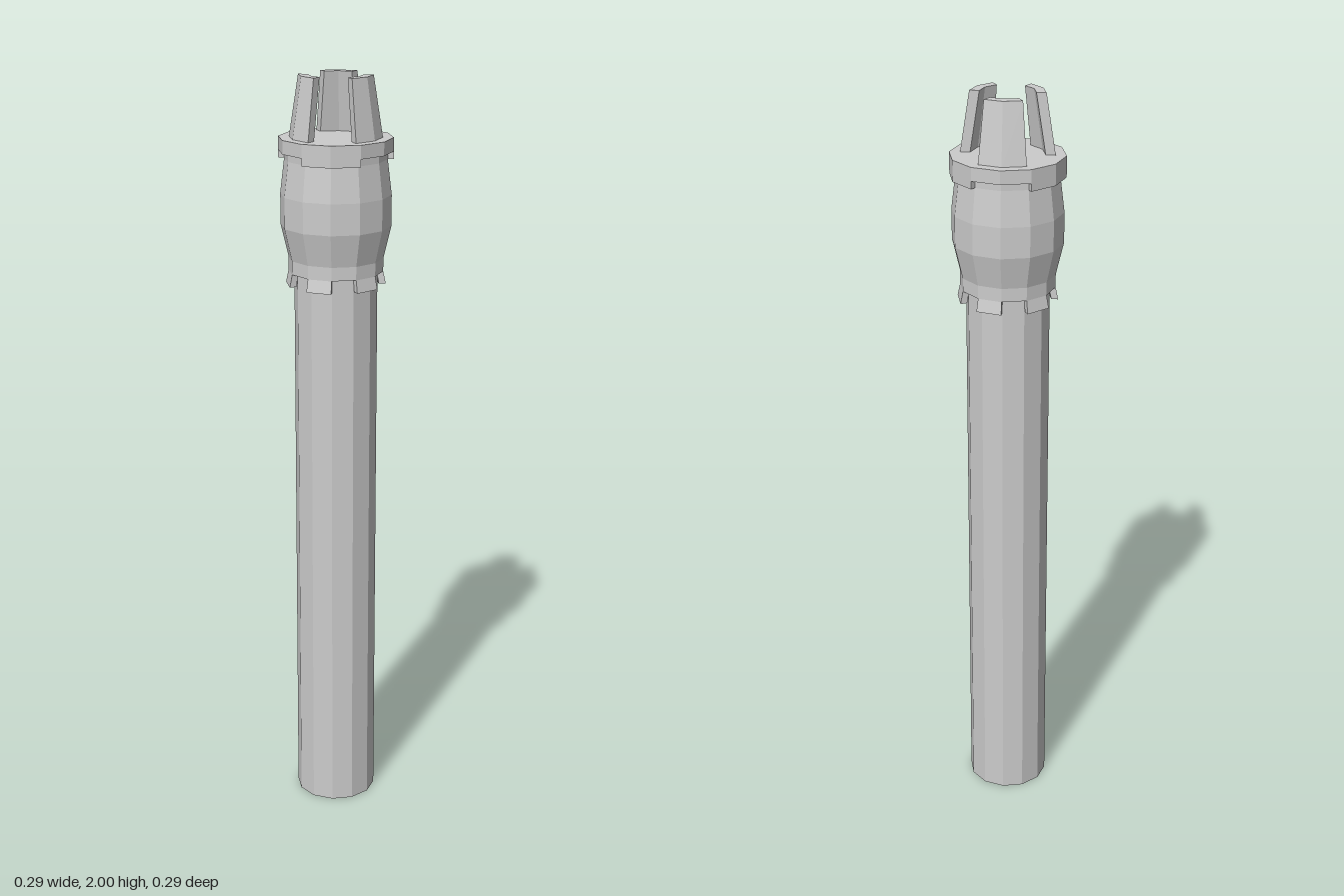
import * as THREE from 'three';

const SIDES = 12;
const STEP = (Math.PI * 2) / SIDES;
const material = new THREE.MeshStandardMaterial({
  color: 0xcccccc,
  flatShading: true,
});

function add(parent, name, geometry) {
  const mesh = new THREE.Mesh(geometry, material);
  mesh.name = name;
  parent.add(mesh);
  return mesh;
}

// Faceted turned solid; profile points are [radius, height], bottom to top
function turned(profile) {
  return new THREE.LatheGeometry(profile.map(([r, y]) => new THREE.Vector2(r, y)), SIDES);
}

// Solid arc block: a four-cornered section swept over whole facets, with end caps
// Corner order: bottom inner, bottom outer, top outer, top inner
function arcBlock(section, firstFacet, facets) {
  const positions = [];
  const at = (corner, facet) => {
    const [r, y] = section[corner % 4];
    return [r * Math.sin(facet * STEP), y, r * Math.cos(facet * STEP)];
  };
  const quad = (a, b, c, d) => positions.push(...a, ...b, ...c, ...a, ...c, ...d);
  const last = firstFacet + facets;
  for (let f = firstFacet; f < last; f++) {
    for (let i = 0; i < 4; i++) quad(at(i, f), at(i, f + 1), at(i + 1, f + 1), at(i + 1, f));
  }
  quad(...[0, 1, 2, 3].map((i) => at(i, firstFacet)));
  quad(...[3, 2, 1, 0].map((i) => at(i, last)));
  const geometry = new THREE.BufferGeometry();
  geometry.setAttribute('position', new THREE.Float32BufferAttribute(positions, 3));
  geometry.computeVertexNormals();
  return geometry;
}

export function createModel() {
  const model = new THREE.Group();
  model.name = 'handle';

  // Long straight grip
  const shaft = add(model, 'shaft', new THREE.CylinderGeometry(0.108, 0.108, 1.52, SIDES));
  shaft.position.y = 0.76;

  // Bulging sleeve
  add(model, 'sleeve', turned([
    [0.1, 1.5], [0.123, 1.5], [0.123, 1.535], [0.143, 1.62],
    [0.143, 1.7], [0.132, 1.79], [0.132, 1.82],
  ]));

  // Tabs under the sleeve, on every other facet
  const skirt = new THREE.Group();
  skirt.name = 'sleeveTabs';
  model.add(skirt);
  for (let f = 1; f < SIDES; f += 2) {
    add(skirt, 'sleeveTab', arcBlock([[0.112, 1.467], [0.13, 1.467], [0.123, 1.5], [0.106, 1.5]], f, 1));
  }

  // Flat collar disc
  add(model, 'collar', turned([[0, 1.81], [0.147, 1.81], [0.147, 1.845], [0, 1.845]]));

  // Lowered collar lips alternate with prongs around the head
  const prongs = new THREE.Group();
  prongs.name = 'prongs';
  model.add(prongs);
  for (let i = 0; i < 3; i++) {
    const f = i * 4 - 1;
    add(prongs, 'prong', arcBlock([[0.095, 1.84], [0.12, 1.84], [0.095, 2], [0.07, 2]], f, 2));
    add(model, 'collarLip', arcBlock([[0.125, 1.79], [0.147, 1.79], [0.147, 1.81], [0.125, 1.81]], f + 2, 2));
  }

  return model;
}
